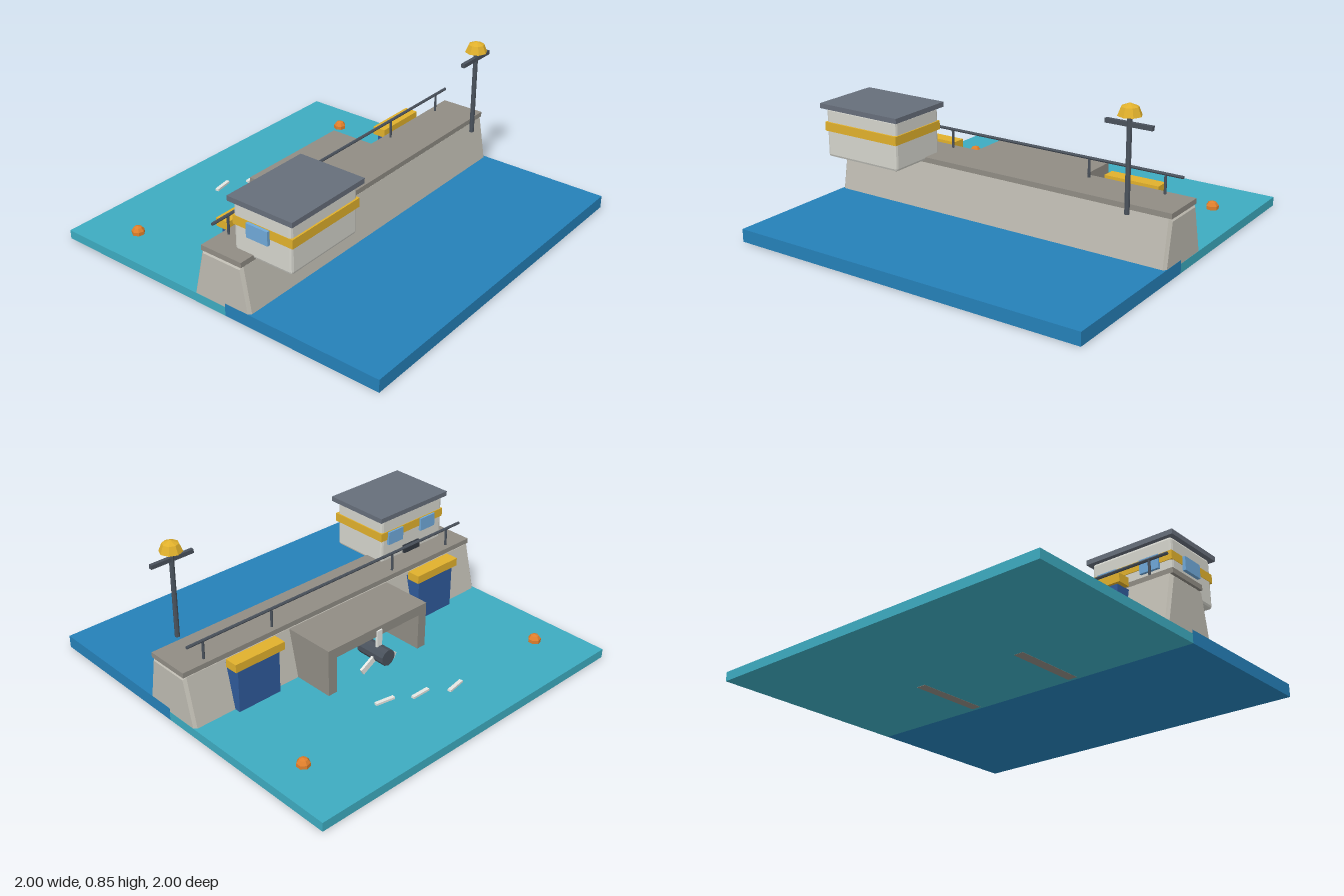
import * as THREE from 'three';
import { RoundedBoxGeometry } from 'three/addons/geometries/RoundedBoxGeometry.js';

const mat = (color) => new THREE.MeshStandardMaterial({ color, flatShading: true });
const M = {
  deepWater: mat(0x2580b8), shallowWater: mat(0x3dabc0), concrete: mat(0xbdbab0),
  slab: mat(0x908c84), wall: mat(0xd4d4cc), slate: mat(0x666e7a), steel: mat(0x4a525c),
  yellow: mat(0xe0b02c), gate: mat(0x2f5a9a), glass: mat(0x6fa8d8), orange: mat(0xe0802c),
  white: mat(0xe4e6e2), dark: mat(0x30363e),
};

export function createModel() {
  const model = new THREE.Group();
  const add = (name, geometry, material, x = 0, y = 0, z = 0, parent = model) => {
    const mesh = new THREE.Mesh(geometry, material);
    mesh.name = name;
    mesh.position.set(x, y, z);
    parent.add(mesh);
    return mesh;
  };
  // Box given by its limits on each axis
  const box = (name, material, [x0, x1], [y0, y1], [z0, z1]) =>
    add(name, new THREE.BoxGeometry(x1 - x0, y1 - y0, z1 - z0), material,
      (x0 + x1) / 2, (y0 + y1) / 2, (z0 + z1) / 2);

  // Water on both sides of the dam
  box('upstreamWater', M.deepWater, [-1, 1], [0.001, 0.07], [0.1, 1]);
  box('downstreamWater', M.shallowWater, [-1, 1], [0.001, 0.05], [-1, 0.1]);

  // Dam: bevelled trapezoid section running along x
  const bevel = 0.015;
  const section = new THREE.Shape([
    new THREE.Vector2(-0.253, bevel), new THREE.Vector2(0.096, bevel),
    new THREE.Vector2(0.027, 0.297), new THREE.Vector2(-0.203, 0.297),
  ]);
  const damGeometry = new THREE.ExtrudeGeometry(section, {
    depth: 2 - 2 * bevel - 0.002, bevelSize: bevel, bevelThickness: bevel, bevelSegments: 1,
  });
  damGeometry.translate(0, 0, -(1 - bevel - 0.001)).rotateY(Math.PI / 2);
  // section x maps to -z, so the steep front face looks along +z
  add('damBody', damGeometry, M.concrete);
  box('damWalkway', M.slab, [-1, 1], [0.312, 0.34], [-0.035, 0.215]);

  // Powerhouse: roof on two side walls, open at the back
  box('powerhouseRoof', M.slab, [-0.345, 0.345], [0.255, 0.31], [-0.33, -0.03]);
  for (const s of [-1, 1])
    box('powerhouseWall', M.slab, [s * 0.3175 - 0.0275, s * 0.3175 + 0.0275], [0, 0.256], [-0.33, 0.08]);

  // Turbine with three blades
  const turbine = new THREE.Group();
  turbine.name = 'turbine';
  turbine.position.set(0, 0.155, -0.33);
  model.add(turbine);
  add('turbineHub', new THREE.CylinderGeometry(0.045, 0.045, 0.18, 10).rotateX(Math.PI / 2),
    M.steel, 0, 0, 0.02, turbine);
  for (let i = 0; i < 3; i++) {
    const blade = add('turbineBlade', new THREE.BoxGeometry(0.035, 0.12, 0.014).translate(0, 0.075, 0),
      M.white, 0, 0, 0, turbine);
    blade.rotation.z = (i * Math.PI * 2) / 3;
  }

  // Sluice gates with yellow hoists
  for (const x of [-0.627, 0.623]) {
    box('sluiceGate', M.gate, [x - 0.13, x + 0.13], [0.03, 0.297], [-0.135, -0.04]);
    box('gateHoist', M.yellow, [x - 0.153, x + 0.153], [0.295, 0.34], [-0.15, -0.075]);
  }

  // Control cabin overhanging the upstream side
  add('cabinWalls', new RoundedBoxGeometry(0.47, 0.27, 0.345, 1, 0.015), M.wall, -0.68, 0.455, 0.273);
  box('cabinBand', M.yellow, [-0.917, -0.438], [0.465, 0.513], [0.096, 0.455]);
  box('cabinRoof', M.slate, [-0.935, -0.42], [0.588, 0.615], [0.083, 0.47]);
  for (const x of [-0.54, -0.79])
    box('backWindow', M.glass, [x - 0.055, x + 0.055], [0.435, 0.51], [0.085, 0.12]);
  box('sideWindow', M.glass, [-0.933, -0.9], [0.435, 0.51], [0.19, 0.32]);
  box('cabinVent', M.dark, [-0.73, -0.61], [0.34, 0.385], [0.085, 0.12]);

  // Handrail along the walkway
  add('handrail', new THREE.CylinderGeometry(0.008, 0.008, 1.9, 6).rotateZ(Math.PI / 2), M.steel, -0.005, 0.442, 0);
  for (const x of [-0.85, -0.425, 0.425, 0.85])
    add('railPost', new THREE.CylinderGeometry(0.007, 0.007, 0.11, 6), M.steel, x, 0.39, 0);

  // Lamp mast
  add('mast', new THREE.CylinderGeometry(0.013, 0.013, 0.475, 8), M.steel, 0.8, 0.553, 0.28);
  box('mastCrossbar', M.steel, [0.675, 0.923], [0.74, 0.762], [0.27, 0.29]);
  add('lampDome', new THREE.SphereGeometry(0.06, 8, 2, 0, Math.PI * 2, 0, Math.PI / 2), M.yellow, 0.8, 0.793, 0.28);
  add('lampBase', new THREE.CircleGeometry(0.06, 8).rotateX(Math.PI / 2), M.yellow, 0.8, 0.793, 0.28);

  // Buoys and foam streaks downstream
  for (const [x, z] of [[-0.8, -0.703], [0.8, -0.652]])
    add('buoy', new THREE.SphereGeometry(0.036, 7, 5), M.orange, x, 0.058, z);
  for (const [x, z, turn] of [[-0.175, -0.702, 0.17], [0, -0.627, 0], [0.175, -0.552, -0.17]])
    add('foamStreak', new THREE.BoxGeometry(0.11, 0.014, 0.02), M.white, x, 0.055, z).rotation.y = turn;

  return model;
}
